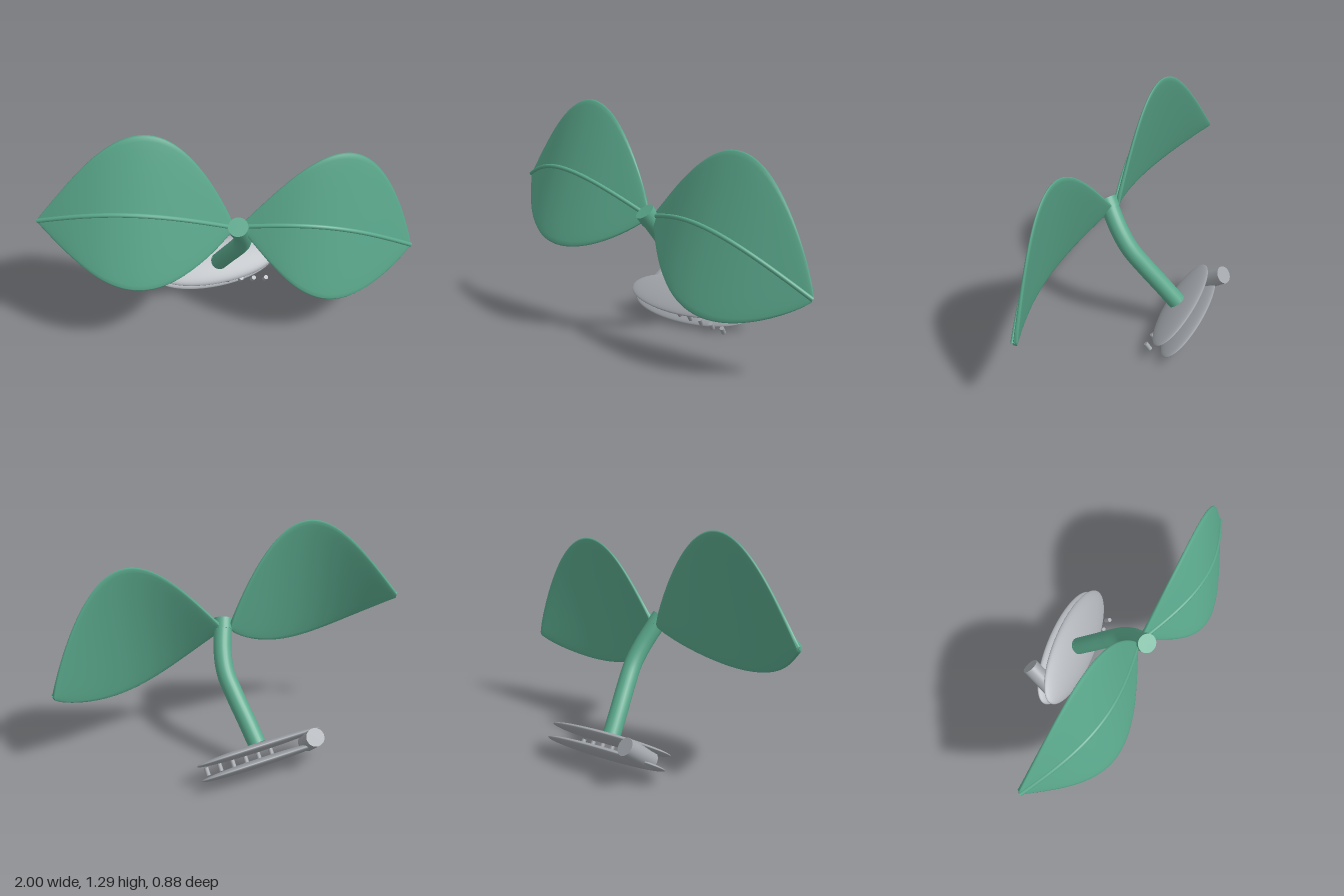
import * as THREE from 'three';

const V = (x, y, z) => new THREE.Vector3(x, y, z);

// Curved blade: straight rulings along `across`, swept over an arched midrib
function makeLeaf(start, end, across, green) {
  const group = new THREE.Group();
  const bulge = V(0, 0.15, 0.125);
  const half = 0.4, thick = 0.012, N = 40, M = 32;
  across.normalize();
  const rib = t => start.clone().lerp(end, t).addScaledVector(bulge, Math.sin(Math.PI * t));
  const normal = t => rib(t + 0.01).sub(rib(t - 0.01)).cross(across).normalize();
  const pos = [], idx = [];
  for (let i = 0; i <= N; i++) {
    const t = i / N, c = rib(t), n = normal(t);
    const w = 0.015 + (half - 0.005) * Math.sin(Math.PI * (1 - Math.pow(1 - t, 0.88)));
    for (let j = 0; j < M; j++) {
      const a = (j / M) * Math.PI * 2, s = Math.sin(a);
      const p = c.clone().addScaledVector(across, w * Math.cos(a))
        .addScaledVector(n, thick * Math.sign(s) * Math.pow(Math.abs(s), 0.4));
      pos.push(p.x, p.y, p.z);
    }
  }
  for (let i = 0; i < N; i++) for (let j = 0; j < M; j++) {
    const k = (j + 1) % M, a = i * M + j, b = i * M + k;
    idx.push(a, b, a + M, b, b + M, a + M);
  }
  // blunt ends
  for (let j = 1; j < M - 1; j++) {
    idx.push(0, j + 1, j);
    idx.push(N * M, N * M + j, N * M + j + 1);
  }
  // wind outward: flip if the first front-face triangle points backwards
  const g = new THREE.BufferGeometry();
  g.setAttribute('position', new THREE.Float32BufferAttribute(pos, 3));
  const q = k => V(pos[k * 3], pos[k * 3 + 1], pos[k * 3 + 2]);
  const mid = (N / 2) * M + M / 4;
  const face = q(mid + 1).sub(q(mid)).cross(q(mid + M).sub(q(mid)));
  if (face.z < 0) for (let i = 0; i < idx.length; i += 3) [idx[i], idx[i + 1]] = [idx[i + 1], idx[i]];
  g.setIndex(idx);
  g.computeVertexNormals();
  const blade = new THREE.Mesh(g, green);
  blade.name = 'leafBlade';

  // raised midrib along the front
  const pts = [];
  for (let i = 0; i <= 16; i++) pts.push(rib(i / 16).addScaledVector(normal(i / 16), thick));
  const vein = new THREE.Mesh(
    new THREE.TubeGeometry(new THREE.CatmullRomCurve3(pts), 48, 0.012, 10), green);
  vein.name = 'midrib';
  group.add(blade, vein);
  return group;
}

// Closed cylinder centred at a point, along a direction
function rod(name, centre, dir, radius, length, material, sides = 24) {
  const m = new THREE.Mesh(new THREE.CylinderGeometry(radius, radius, length, sides), material);
  m.position.copy(centre);
  m.quaternion.setFromUnitVectors(V(0, 1, 0), dir.clone().normalize());
  m.name = name;
  return m;
}

export function createModel() {
  const green = new THREE.MeshStandardMaterial({ color: 0x5aa88c });
  green.name = 'leaf green';
  const grey = new THREE.MeshStandardMaterial({ color: 0xa0a4a9 });
  grey.name = 'base grey';
  const model = new THREE.Group();

  // leaves
  const right = makeLeaf(V(-0.99, 0.815, 0.215), V(0.0, 0.715, 0.145), V(0.1, 0.93, -0.31), green);
  right.name = 'rightLeaf';
  const left = makeLeaf(V(0.05, 0.72, 0.145), V(0.985, 0.46, -0.025), V(0.15, 0.93, -0.29), green);
  left.name = 'leftLeaf';
  model.add(right, left);

  // bent stem with a collar at the leaf joint
  const path = new THREE.CatmullRomCurve3([
    [-0.075, 0.18], [-0.035, 0.28], [0.015, 0.4], [0.05, 0.5], [0.055, 0.6], [0.03, 0.75],
  ].map(([x, y]) => V(x, y, -0.215 + (y - 0.18) * 0.72)));
  const stem = new THREE.Mesh(new THREE.TubeGeometry(path, 48, 0.05, 24), green);
  stem.name = 'stem';
  const top = path.getTangent(1);
  model.add(stem,
    rod('stemCollar', path.getPoint(1).addScaledVector(top, -0.028), top, 0.053, 0.06, green),
    rod('stemFoot', path.getPoint(0), path.getTangent(0), 0.05, 0.012, green));

  // two stacked lens-shaped plates, square to the stem foot
  const n = V(0.21, 0.8, 0.56).normalize();
  const long = V(0.945, -0.02, -0.32);
  long.addScaledVector(n, -long.dot(n)).normalize();
  const short = long.clone().cross(n).normalize();
  const turn = new THREE.Matrix4().makeBasis(long, n, short);
  const plates = { upperPlate: V(-0.09, 0.165, -0.238), lowerPlate: V(-0.105, 0.1, -0.283) };
  for (const [name, centre] of Object.entries(plates)) {
    const plate = new THREE.Mesh(new THREE.SphereGeometry(1, 48, 24), grey);
    plate.scale.set(0.383, 0.024, 0.14);
    plate.quaternion.setFromRotationMatrix(turn);
    plate.position.copy(centre);
    plate.name = name;
    model.add(plate);
  }

  // cylinder between the plates at one end
  model.add(rod('sideCylinder', V(-0.37, 0.187, -0.255), V(0, 0.6, -0.8), 0.05, 0.2, grey, 32));

  // row of small pegs along the front rim
  for (let i = 0; i < 6; i++) {
    model.add(rod('peg', V(-0.17 + 0.074 * i, 0.085 - 0.01 * i, -0.15 - 0.015 * i), n, 0.013, 0.045, grey, 12));
  }
  return model;
}
